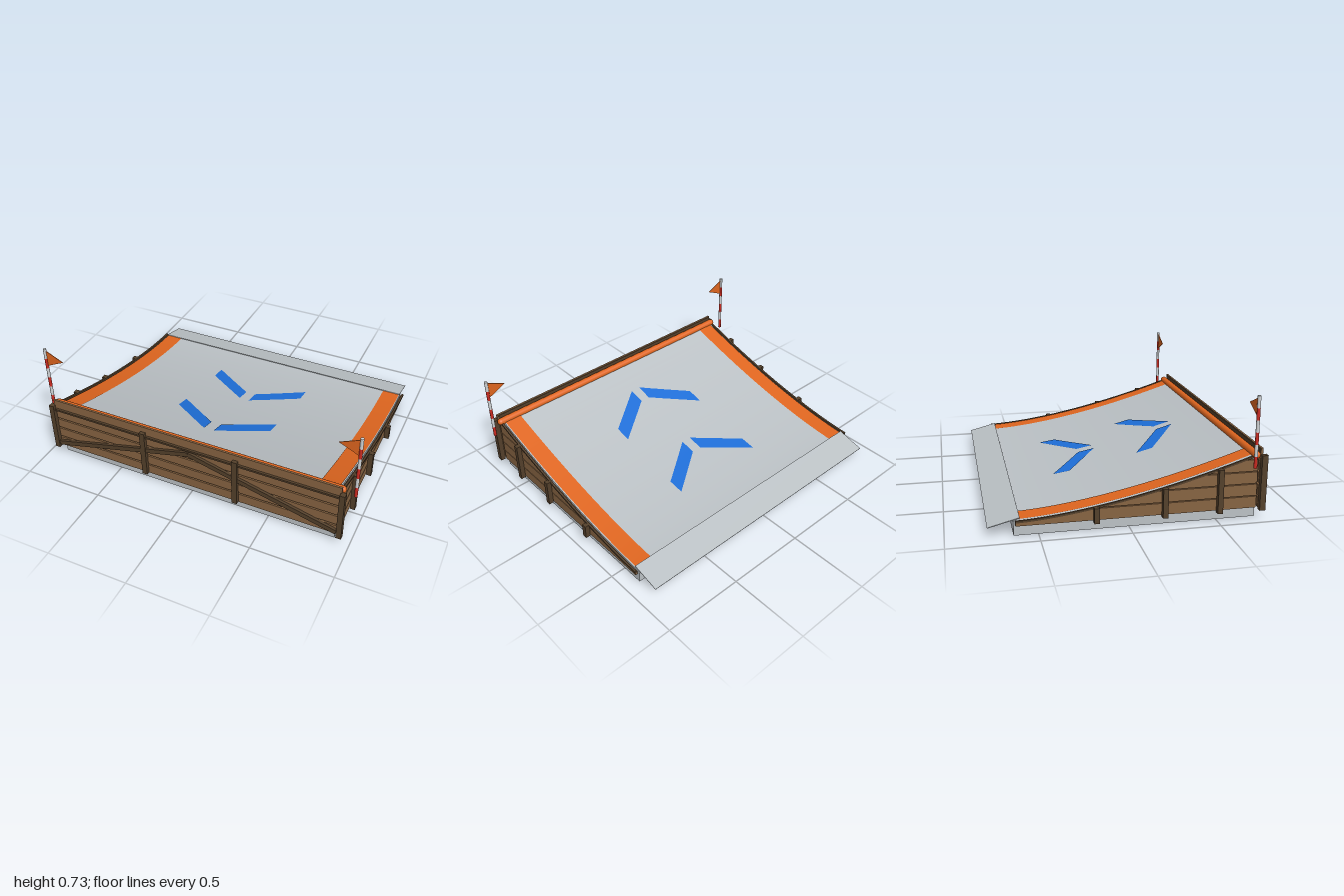
import * as THREE from 'three';

const mat = (name, color) => Object.assign(new THREE.MeshStandardMaterial({ color }), { name });

// Height of the concave riding surface at depth z
const BACK = -0.635, FRONT = 0.73;
const curve = (z) => 0.088 + 0.288 * Math.pow(Math.max(0, (z - BACK) / (FRONT - BACK)), 1.6);
const steps = (a, b, n) => Array.from({ length: n + 1 }, (_, i) => a + ((b - a) * i) / n);

export function createModel() {
  const grey = mat('concreteGrey', 0xbcc2c6);
  const orange = mat('orange', 0xe0661f);
  const blue = mat('blue', 0x1e6fd9);
  const wood = mat('plankBrown', 0x876442);
  const dark = mat('beamBrown', 0x54402b);
  const red = mat('red', 0xcc2a20);
  const white = mat('poleWhite', 0xd2d5d7);

  const model = new THREE.Group();
  model.name = 'jumpRamp';

  const add = (name, geo, material, x = 0, y = 0, z = 0) => {
    const mesh = new THREE.Mesh(geo, material);
    mesh.name = name;
    mesh.position.set(x, y, z);
    model.add(mesh);
    return mesh;
  };
  const box = (name, m, w, h, d, x, y, z) => add(name, new THREE.BoxGeometry(w, h, d), m, x, y, z);

  // Side profile given as [z, y] points, extruded between x0 and x1
  const slab = (name, m, pts, x0, x1) => {
    const shape = new THREE.Shape(pts.map(([z, y]) => new THREE.Vector2(z, y)));
    const geo = new THREE.ExtrudeGeometry(shape, { depth: x1 - x0, bevelEnabled: false });
    geo.rotateY(-Math.PI / 2).translate(x1, 0, 0);
    return add(name, geo, m);
  };

  // Surface patch draped on the curve; at(u, v) returns [x, z]
  const drape = (name, m, lift, nu, nv, at) => {
    const geo = new THREE.PlaneGeometry(1, 1, nu, nv);
    const p = geo.attributes.position;
    for (let i = 0; i < p.count; i++) {
      const [x, z] = at(p.getX(i) + 0.5, 0.5 - p.getY(i));
      p.setXYZ(i, x, curve(z) + lift, z);
    }
    geo.computeVertexNormals();
    return add(name, geo, m);
  };

  // Solid body, riding surface and edge bands
  slab('body', grey, [[BACK, 0], [FRONT, 0], ...steps(FRONT, BACK, 28).map((z) => [z, curve(z) - 0.003])], -0.905, 0.905);
  drape('deck', grey, 0, 1, 28, (u, v) => [-0.905 + 1.81 * u, BACK + 0.001 + (FRONT - BACK - 0.002) * v]);
  for (const s of [-1, 1])
    drape('edgeBand', orange, 0.004, 1, 28, (u, v) => [s * 0.845 - 0.055 + 0.11 * u, -0.615 + 1.325 * v]);

  // Direction chevrons
  for (const z0 of [-0.335, 0.185])
    for (const s of [-1, 1])
      drape('chevronArm', blue, 0.004, 12, 4, (u, v) => {
        const x = s * 0.1755 + (u - 0.5) * 0.287;
        const t = (0.319 - Math.abs(x)) / 0.287;
        return [x, z0 + 0.207 * t + 0.102 * v];
      });

  // Sloping entry plate
  const plate = box('entryPlate', grey, 1.81, 0.004, 0.181, 0, 0.077, -0.6875);
  plate.rotation.x = -Math.atan2(0.045, 0.175);

  // Front planks
  steps(0.06, 0.35, 4).forEach((y, i) =>
    box('frontPlank', wood, i === 4 ? 1.86 : 1.84, 0.062, 0.013, 0, y + 0.031, 0.7465));
  box('topBacking', dark, 1.84, 0.055, 0.004, 0, 0.381, 0.739);
  box('frontRail', dark, 1.84, 0.012, 0.018, 0, 0.347, 0.758);

  // Front posts and diagonal braces
  for (const s of [-1, 1]) {
    box('frontPost', dark, 0.034, 0.315, 0.032, s * 0.3, 0.2175, 0.759);
    box('cornerPost', dark, 0.032, 0.325, 0.034, s * 0.939, 0.2125, 0.758);
    const brace = box('diagonalBrace', dark, Math.hypot(0.92, 0.235), 0.03, 0.018, s * 0.46, 0.2025, 0.761);
    brace.rotation.z = -s * Math.atan2(0.235, 0.92);
  }

  // Lip pipe with rounded ends
  const pipe = add('lipPipe', new THREE.CapsuleGeometry(0.023, 1.842, 6, 16), orange, 0, 0.372, 0.717);
  pipe.rotation.z = Math.PI / 2;

  for (const s of [-1, 1]) {
    const sideSlab = (name, m, pts, a, b) => slab(name, m, pts, Math.min(s * a, s * b), Math.max(s * a, s * b));

    // Side planks trimmed to the curve
    for (let i = 0; i < 5; i++) {
      const y0 = 0.06 + i * 0.0725, y1 = y0 + 0.067;
      const zs = steps(FRONT, -0.625, 56).filter((z) => curve(z) - 0.01 > y0 + 0.002);
      if (zs.length < 3) continue;
      const top = zs.map((z) => [z, Math.min(y1, curve(z) - 0.01)]);
      sideSlab('sidePlank', wood, [[zs[zs.length - 1], y0], [FRONT, y0], ...top], 0.908, 0.924);
    }

    // Dark trim along the curved top edge
    const zs = steps(0.72, -0.625, 28);
    sideSlab('curvedTrim', dark, [
      ...zs.map((z) => [z, curve(z) + 0.003]),
      ...[...zs].reverse().map((z) => [z, curve(z) - 0.009]),
    ], 0.916, 0.929);

    // Side posts
    for (const z of [0.51, 0.195, -0.187]) {
      const top = curve(z) + 0.002;
      box('sidePost', dark, 0.03, top - 0.05, 0.03, s * 0.94, (top + 0.05) / 2, z);
    }

    // Striped marker pole
    for (let i = 0; i < 6; i++)
      add('poleBand', new THREE.CylinderGeometry(0.01, 0.01, 0.0683, 12), i % 2 ? white : red,
        s * 0.99, 0.32 + 0.0683 * (i + 0.5), 0.685);

    // Pennant pointing inwards
    const flag = new THREE.Shape([
      new THREE.Vector2(s * 0.983, 0.61), new THREE.Vector2(s * 0.983, 0.717), new THREE.Vector2(s * 0.868, 0.664),
    ]);
    add('pennant', new THREE.ExtrudeGeometry(flag, { depth: 0.004, bevelEnabled: false }), orange, 0, 0, 0.683);
  }
  return model;
}
